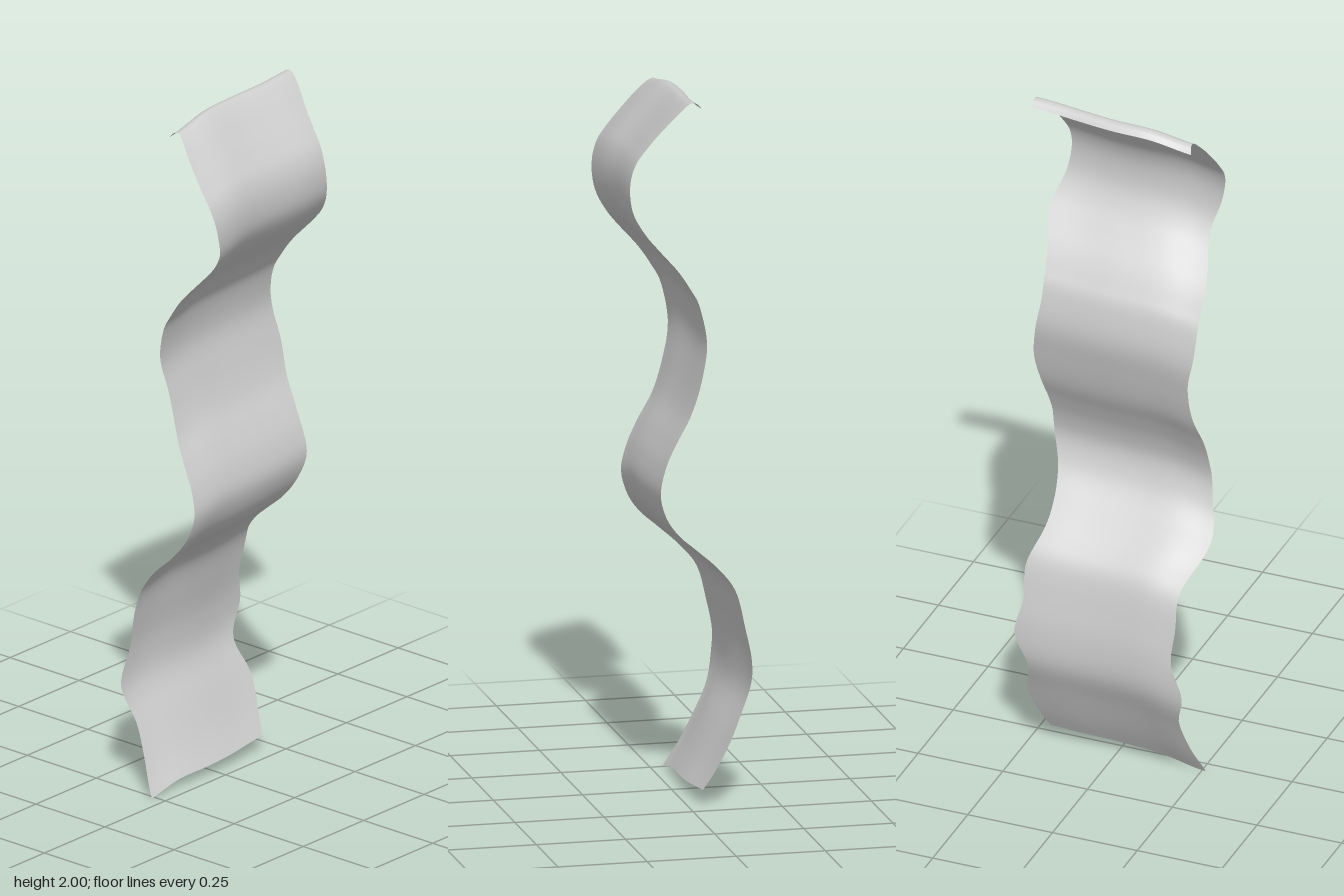
import * as THREE from 'three';

// Spline through evenly spaced values, read at t in 0..1
function track(values) {
  const curve = new THREE.SplineCurve(values.map((v, i) => new THREE.Vector2(i, v)));
  return (t) => curve.getPoint(THREE.MathUtils.clamp(t, 0, 1)).y;
}

// Outline of the two side edges, from bottom to top in steps of 0.1
const leftEdge = track([
  -0.262, -0.235, -0.222, -0.243, -0.21, -0.215, -0.215, -0.258, -0.235, -0.225, -0.22,
  -0.205, -0.205, -0.225, -0.23, -0.225, -0.2, -0.225, -0.24, -0.225, -0.19]);
const rightEdge = track([
  0.18, 0.215, 0.235, 0.213, 0.25, 0.23, 0.232, 0.2, 0.212, 0.236, 0.235,
  0.243, 0.253, 0.24, 0.225, 0.232, 0.258, 0.23, 0.218, 0.23, 0.26]);

// Slight skew of every row across the width
const skew = track([-0.029, -0.006, 0, 0.006, 0.015]);

// Centre line as [z, y], curling over at the top
const centreLine = new THREE.SplineCurve([
  [-0.035, 0.033], [-0.07, 0.1], [-0.115, 0.2], [-0.158, 0.3], [-0.162, 0.4],
  [-0.146, 0.5], [-0.12, 0.6], [-0.075, 0.66], [-0.02, 0.71], [0.03, 0.755],
  [0.068, 0.81], [0.088, 0.88], [0.075, 0.95], [0.045, 1.02], [0.005, 1.1],
  [-0.025, 1.2], [-0.044, 1.3], [-0.028, 1.4], [0.0, 1.455], [0.037, 1.51],
  [0.085, 1.565], [0.13, 1.62], [0.16, 1.68], [0.165, 1.75], [0.149, 1.81],
  [0.115, 1.86], [0.075, 1.91], [0.038, 1.955], [0.008, 1.984], [-0.012, 1.983],
  [-0.026, 1.968],
].map(([z, y]) => new THREE.Vector2(z, y)));

export function createModel() {
  const group = new THREE.Group();
  group.name = 'wavyStrip';

  const cloth = new THREE.MeshStandardMaterial({ color: 0xcccccc, side: THREE.DoubleSide });
  cloth.name = 'light grey cloth';

  // Hanging strip: a grid bent along the centre line and trimmed to the edges
  const cols = 24, rows = 150;
  const geometry = new THREE.PlaneGeometry(1, 1, cols, rows);
  const pos = geometry.attributes.position;
  for (let i = 0; i < pos.count; i++) {
    const u = pos.getX(i) + 0.5;
    const c = centreLine.getPoint(pos.getY(i) + 0.5);
    const y = c.y + skew(u);
    const x = THREE.MathUtils.lerp(leftEdge(y / 2), rightEdge(y / 2), u);
    // Shallow lengthwise ripples
    const ripple = 0.005 * Math.cos(x * 15) * Math.cos(y * 1.5);
    pos.setXYZ(i, x, y, c.x + ripple);
  }
  geometry.computeVertexNormals();

  const strip = new THREE.Mesh(geometry, cloth);
  strip.name = 'strip';
  group.add(strip);
  return group;
}
